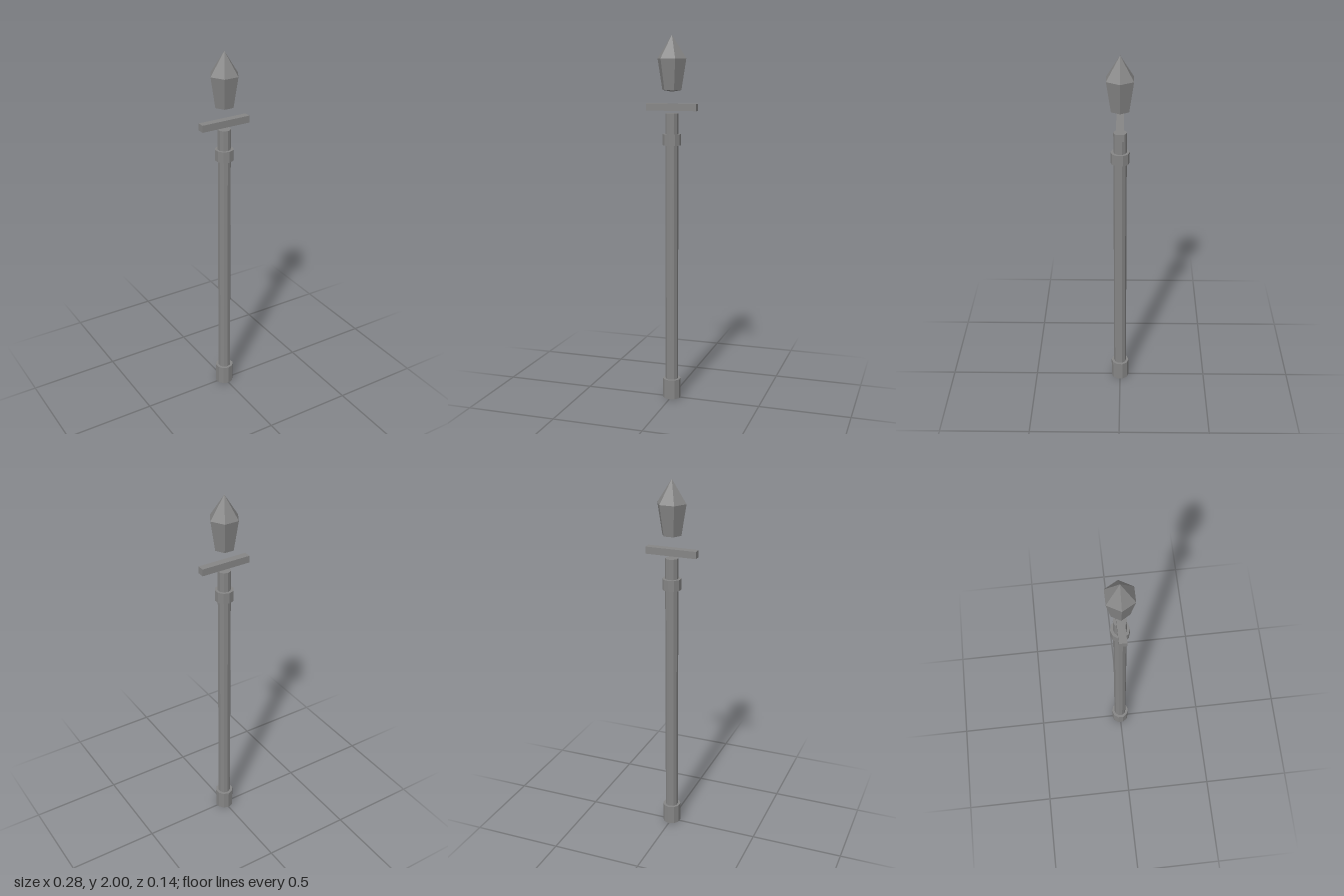
import * as THREE from 'three';

export function createModel() {
  const group = new THREE.Group();
  const metal = new THREE.MeshStandardMaterial({ color: 0x858585, flatShading: true });
  metal.name = 'grey metal';

  const add = (name, geometry, y = 0) => {
    const mesh = new THREE.Mesh(geometry, metal);
    mesh.name = name;
    mesh.position.y = y;
    group.add(mesh);
  };

  // Upright column given by its bottom and top heights
  const column = (name, radius, bottom, top) =>
    add(name, new THREE.CylinderGeometry(radius, radius, top - bottom, 10), (bottom + top) / 2);

  column('base', 0.05, 0, 0.11);
  column('post', 0.035, 0.005, 1.59);
  column('collar', 0.05, 1.42, 1.48);

  // Crossbar floating just above the post
  add('crossbar', new THREE.BoxGeometry(0.28, 0.038, 0.04), 1.623);

  // Six-sided lantern: shallow pointed underside, flared body, pointed roof
  const profile = [[0, 1.704], [0.053, 1.713], [0.08, 1.878], [0, 2]]
    .map(([r, y]) => new THREE.Vector2(r, y));
  add('lantern', new THREE.LatheGeometry(profile, 6, Math.PI / 2));

  return group;
}
